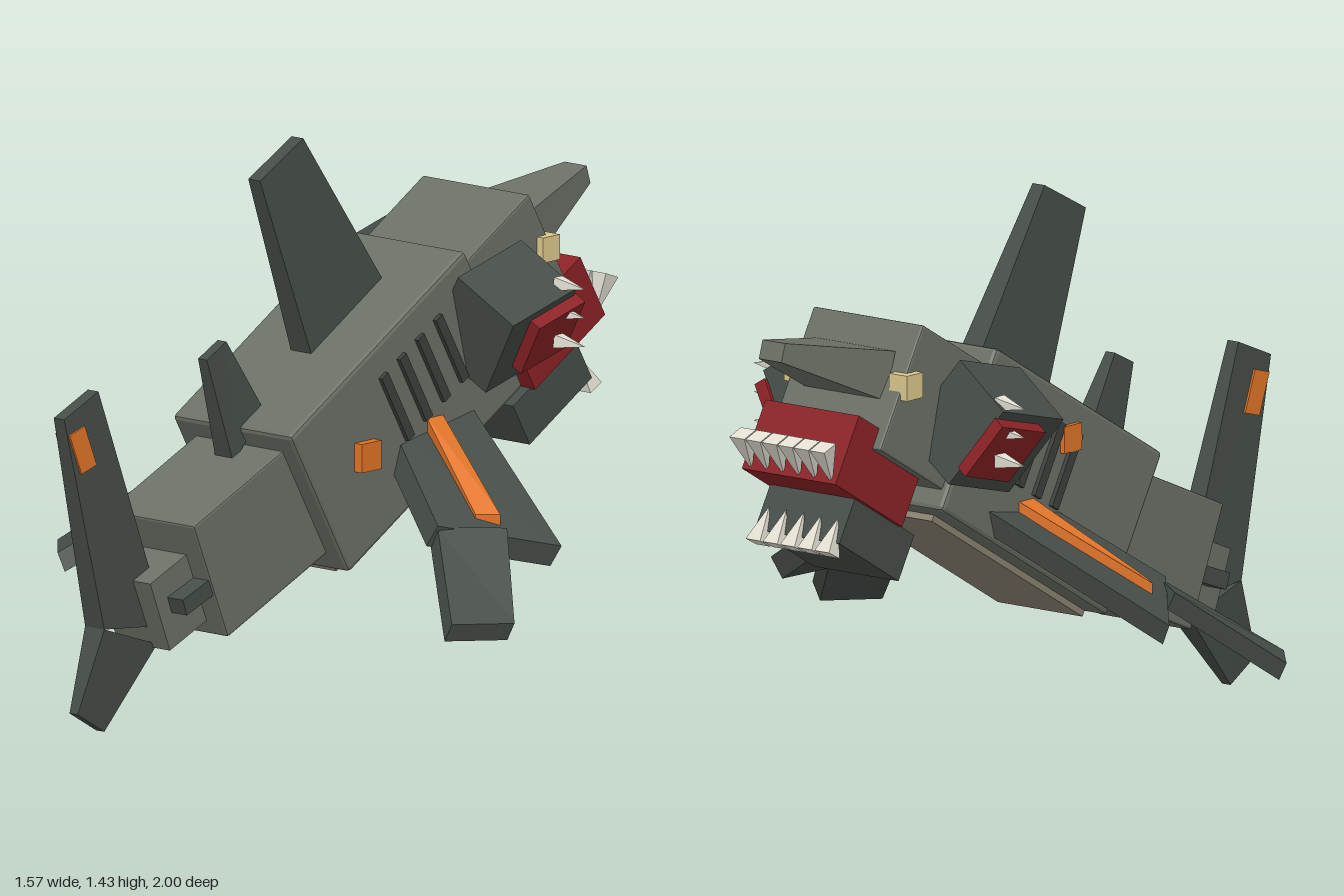
import * as THREE from 'three';
import { RoundedBoxGeometry } from 'three/addons/geometries/RoundedBoxGeometry.js';

const mat = (color) => new THREE.MeshStandardMaterial({ color, flatShading: true });
const HULL = mat(0x6b7066), DARK = mat(0x464d48), GILL = mat(0x3c413d), RED = mat(0x8c2226);
const ORANGE = mat(0xe07428), BONE = mat(0xe2dfd2), EYE = mat(0xdcc88c), BELLY = mat(0x8a8272);
const DEG = Math.PI / 180;

export function createModel() {
  const root = new THREE.Group();
  root.name = 'sharkMachine';

  function add(name, geometry, material, parent = root) {
    const mesh = new THREE.Mesh(geometry, material);
    mesh.name = name;
    parent.add(mesh);
    return mesh;
  }

  function box(name, size, pos, material, parent = root, pitch = 0, bevel = 0) {
    const geo = bevel ? new RoundedBoxGeometry(...size, 1, bevel) : new THREE.BoxGeometry(...size);
    const mesh = add(name, geo, material, parent);
    mesh.position.set(...pos);
    mesh.rotation.x = pitch * DEG;
    return mesh;
  }

  // Box whose eight corners are moved; each quad runs (-x,-z), (+x,-z), (+x,+z), (-x,+z)
  function block(name, bottom, top, material) {
    const geo = new THREE.BoxGeometry(1, 1, 1);
    const p = geo.attributes.position;
    for (let i = 0; i < p.count; i++) {
      const right = p.getX(i) > 0, back = p.getZ(i) > 0;
      const corner = back ? (right ? 2 : 3) : (right ? 1 : 0);
      p.setXYZ(i, ...(p.getY(i) > 0 ? top : bottom)[corner]);
    }
    geo.computeVertexNormals();
    return add(name, geo, material);
  }

  // Upright blade: front and back points are [z, y], with a half width at each end
  function blade(name, [bf, bb, bw], [tf, tb, tw], material) {
    const quad = (f, b, w) => [[-w, f[1], f[0]], [w, f[1], f[0]], [w, b[1], b[0]], [-w, b[1], b[0]]];
    return block(name, quad(bf, bb, bw), quad(tf, tb, tw), material);
  }

  // Slab under a top quad, mirrored to the other side when s = -1
  function slab(name, top, drop, s, material) {
    const bottom = top.map((c) => c.map((v, i) => v + drop[i]));
    const flip = (q) => (s > 0 ? q : [q[1], q[0], q[3], q[2]].map(([x, y, z]) => [-x, y, z]));
    return block(name, flip(bottom), flip(top), material);
  }

  // Four-sided tooth from base to apex
  function tooth(name, base, apex, radius) {
    const a = new THREE.Vector3(...base), b = new THREE.Vector3(...apex);
    const geo = new THREE.ConeGeometry(radius, a.distanceTo(b), 4).rotateY(Math.PI / 4);
    const mesh = add(name, geo, BONE);
    mesh.position.copy(a).add(b).multiplyScalar(0.5);
    mesh.quaternion.setFromUnitVectors(new THREE.Vector3(0, 1, 0), b.sub(a).normalize());
  }

  // Pitched hull with head and jaws
  const hull = new THREE.Group();
  hull.name = 'hull';
  hull.position.set(0, 0.725, -0.107);
  hull.rotation.x = 30 * DEG;
  root.add(hull);
  box('body', [0.41, 0.45, 0.77], [0, 0, 0], HULL, hull, 0, 0.012);
  box('head', [0.365, 0.347, 0.4], [0, 0.004, -0.471], HULL, hull, 0, 0.006);
  box('bellyPanel', [0.28, 0.04, 0.7], [0, -0.222, 0.02], BELLY, hull);
  box('upperJaw', [0.31, 0.19, 0.31], [0, -0.207, -0.61], RED, hull);
  box('lowerJaw', [0.28, 0.127, 0.275], [0, -0.362, -0.517], DARK, hull);
  for (const s of [1, -1]) {
    for (let i = 0; i < 4; i++) {
      box('gillSlit', [0.02, 0.205, 0.028], [s * 0.207, 0.043, 0.03 - i * 0.08], GILL, hull);
    }
  }

  // Snout, tapering forward
  const snoutGeo = new THREE.BoxGeometry(1, 1, 0.335);
  const sp = snoutGeo.attributes.position;
  for (let i = 0; i < sp.count; i++) {
    const tip = sp.getZ(i) < 0;
    sp.setX(i, sp.getX(i) * (tip ? 0.075 : 0.26));
    sp.setY(i, sp.getY(i) * (tip ? 0.05 : 0.13));
  }
  snoutGeo.computeVertexNormals();
  const snout = add('snout', snoutGeo, HULL);
  snout.position.set(0, 1.135, -0.828);
  snout.rotation.x = 17.5 * DEG;

  // Jaw teeth
  for (let i = 0; i < 6; i++) {
    const x = (i - 2.5) * 0.053;
    tooth('upperTooth', [x, 0.945, -0.945], [x, 0.84, -0.906], 0.035);
  }
  for (let i = 0; i < 5; i++) {
    const x = (i - 2) * 0.057;
    tooth('lowerTooth', [x, 0.655, -0.905], [x, 0.743, -0.86], 0.034);
  }

  // Tail segments
  box('tailBase', [0.3, 0.336, 0.45], [0, 0.468, 0.377], HULL, root, 23, 0.006);
  box('tailEnd', [0.18, 0.2, 0.2], [0, 0.337, 0.62], HULL, root, 22);
  box('tailStub', [0.285, 0.045, 0.11], [0, 0.345, 0.625], DARK, root, 20);

  // Upright fins
  blade('dorsalFin', [[-0.204, 1.03], [0.07, 0.875], 0.035],
    [[0.086, 1.444], [0.252, 1.358], 0.02], DARK);
  blade('rearDorsalFin', [[0.247, 0.76], [0.365, 0.64], 0.03],
    [[0.375, 0.957], [0.45, 0.92], 0.015], DARK);
  blade('upperTailFin', [[0.627, 0.257], [0.863, 0.283], 0.033],
    [[0.869, 0.904], [1.0, 0.85], 0.018], DARK);
  blade('lowerTailFin', [[0.842, 0.01], [0.944, 0.07], 0.014],
    [[0.66, 0.214], [0.863, 0.283], 0.033], DARK);
  blade('tailFinMark', [[0.885, 0.716], [0.943, 0.7], 0.027],
    [[0.928, 0.823], [0.986, 0.807], 0.025], ORANGE);

  for (const s of [1, -1]) {
    box('eye', [0.06, 0.066, 0.064], [s * 0.174, 1.065, -0.66], EYE);

    // Two-part side fin with stripe
    slab('innerSideFin', [[0.17, 0.71, -0.375], [0.66, 0.425, -0.19], [0.45, 0.485, 0.05], [0.17, 0.665, -0.1]],
      [-0.03, -0.055, 0.01], s, DARK);
    slab('outerSideFin', [[0.58, 0.48, -0.07], [0.785, 0.29, 0.13], [0.677, 0.29, 0.25], [0.44, 0.48, 0.04]],
      [-0.025, -0.047, 0], s, DARK);
    slab('sideFinStripe', [[0.19, 0.705, -0.25], [0.53, 0.503, -0.1], [0.48, 0.503, -0.06], [0.19, 0.705, -0.19]],
      [0, -0.04, 0], s, ORANGE);

    // Cheek pod with red plate and spikes
    const pod = new THREE.Group();
    pod.name = 'cheekPod';
    pod.position.set(s * 0.245, 0.93, -0.43);
    pod.rotation.set(14 * DEG, 0, -s * 34 * DEG);
    root.add(pod);
    box('podBlock', [0.2, 0.25, 0.25], [0, 0, 0], DARK, pod);
    box('podPlate', [0.035, 0.17, 0.18], [s * 0.115, 0.015, -0.045], RED, pod);
    for (const y of [1.02, 0.945, 0.87]) {
      tooth('podSpike', [s * 0.36, y, -0.51], [s * 0.45, y - 0.005, -0.515], 0.025);
    }
  }

  // Flank markers
  box('leftFlankMarker', [0.04, 0.075, 0.075], [0.21, 0.637, 0.058], ORANGE);
  box('rightFlankMarker', [0.03, 0.07, 0.07], [-0.203, 0.83, -0.04], ORANGE);

  return root;
}
